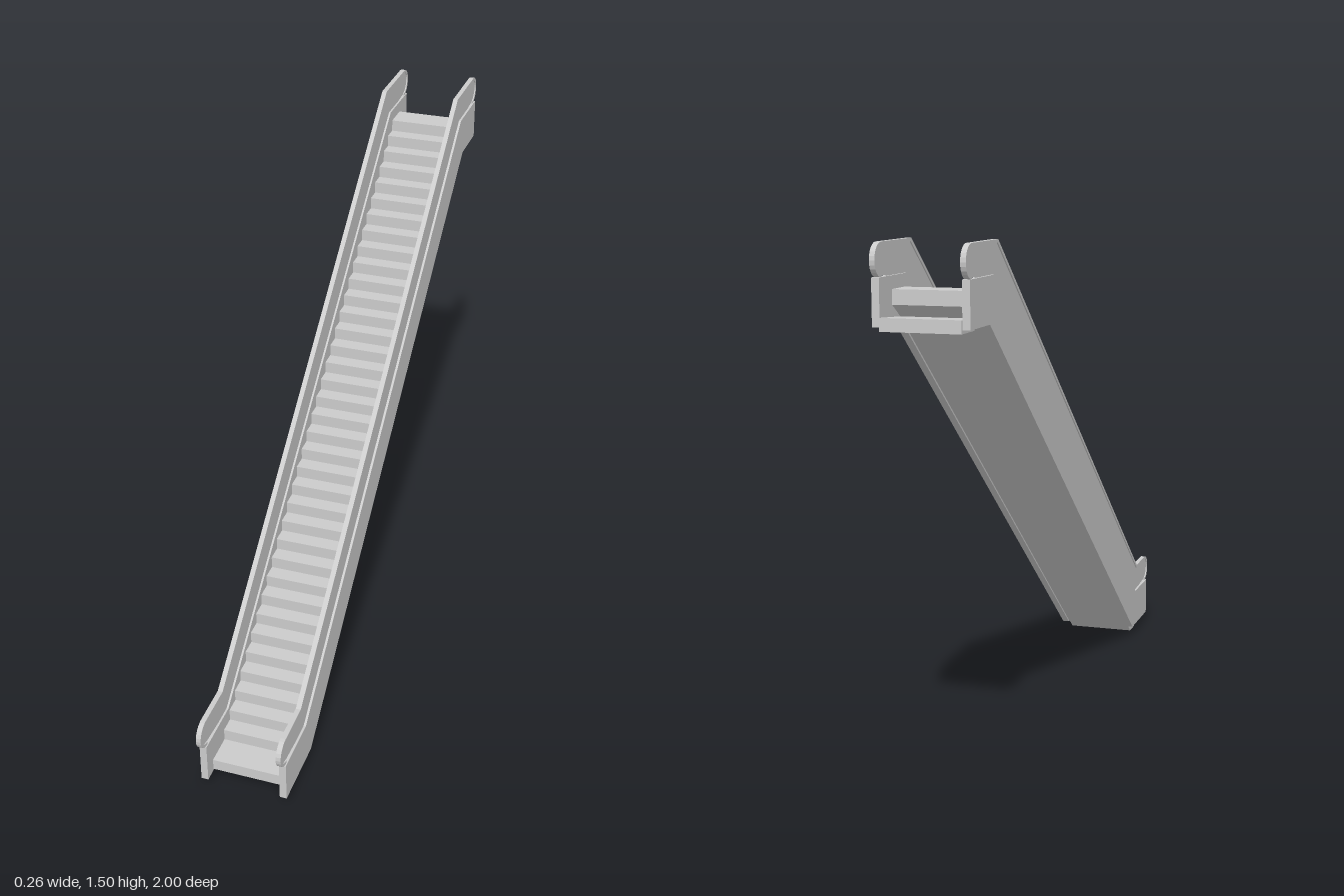
import * as THREE from 'three';

const material = new THREE.MeshStandardMaterial({ color: 0xcccccc });

// Extrude a side profile of [z, y] points between two x positions
function slab(name, points, x0, x1) {
  const shape = new THREE.Shape(points.map(([z, y]) => new THREE.Vector2(z, y)));
  const geometry = new THREE.ExtrudeGeometry(shape, { depth: x1 - x0, bevelEnabled: false });
  geometry.rotateY(-Math.PI / 2);
  geometry.translate(x1, 0, 0);
  const mesh = new THREE.Mesh(geometry, material);
  mesh.name = name;
  return mesh;
}

// Rail line from the lower round end, up the incline, to the upper round end
function railLine(radius) {
  const shift = (0.045 - radius) * 0.347;
  const points = [];
  const arc = (z, y, start) => {
    for (let i = 0; i <= 12; i++) {
      const a = start + (Math.PI * i) / 12;
      points.push([z + radius * Math.cos(a), y + radius * Math.sin(a)]);
    }
  };
  arc(0.955, 0.2, -Math.PI / 2);
  points.push([0.83 - shift, 0.2 + radius], [-0.75 - shift, 1.453 + radius]);
  arc(-0.955, 1.453, Math.PI / 2);
  return points;
}

export function createModel() {
  const group = new THREE.Group();

  // Side skirts, balustrades and handrails
  const skirt = [
    [0.97, 0.155], [0.8, 0.155], [-0.79, 1.41], [-0.98, 1.41],
    [-0.98, 1.285], [-0.83, 1.285], [0.76, 0.03], [0.97, 0.03],
  ];
  const panel = [...railLine(0.038), [-0.79, 1.4], [0.8, 0.15]];
  const rail = [...railLine(0.045), ...railLine(0.036).reverse()];
  for (const side of [1, -1]) {
    const add = (name, points, inner, outer) => {
      const [a, b] = side > 0 ? [inner, outer] : [-outer, -inner];
      group.add(slab((side > 0 ? 'left' : 'right') + name, points, a, b));
    };
    add('Skirt', skirt, 0.11, 0.131);
    add('Balustrade', panel, 0.116, 0.124);
    add('Handrail', rail, 0.1125, 0.1275);
  }

  // Stair body with stepped top and sloping underside
  const count = 36;
  const rise = (1.375 - 0.07) / count;
  const run = (0.84 + 0.81) / (count - 1);
  const stairs = [[0.93, 0.035], [0.93, 0.07]];
  for (let i = 0; i < count; i++) {
    const z = 0.84 - i * run;
    stairs.push([z, 0.07 + i * rise], [z, 0.07 + (i + 1) * rise]);
  }
  stairs.push([-0.895, 1.375], [-0.895, 1.335], [-0.84, 1.3], [0.762, 0.035]);
  group.add(slab('steps', stairs, -0.11, 0.11));

  // Bottom foot and upper floor plate
  group.add(slab('bottomFoot', [[0.87, 0], [0.87, 0.036], [0.765, 0.036], [0.81, 0]], -0.11, 0.11));
  group.add(slab('upperFloorPlate', [
    [-0.83, 1.287], [-0.83, 1.3], [-0.985, 1.31], [-0.985, 1.275], [-0.89, 1.275], [-0.89, 1.287],
  ], -0.11, 0.11));

  return group;
}
